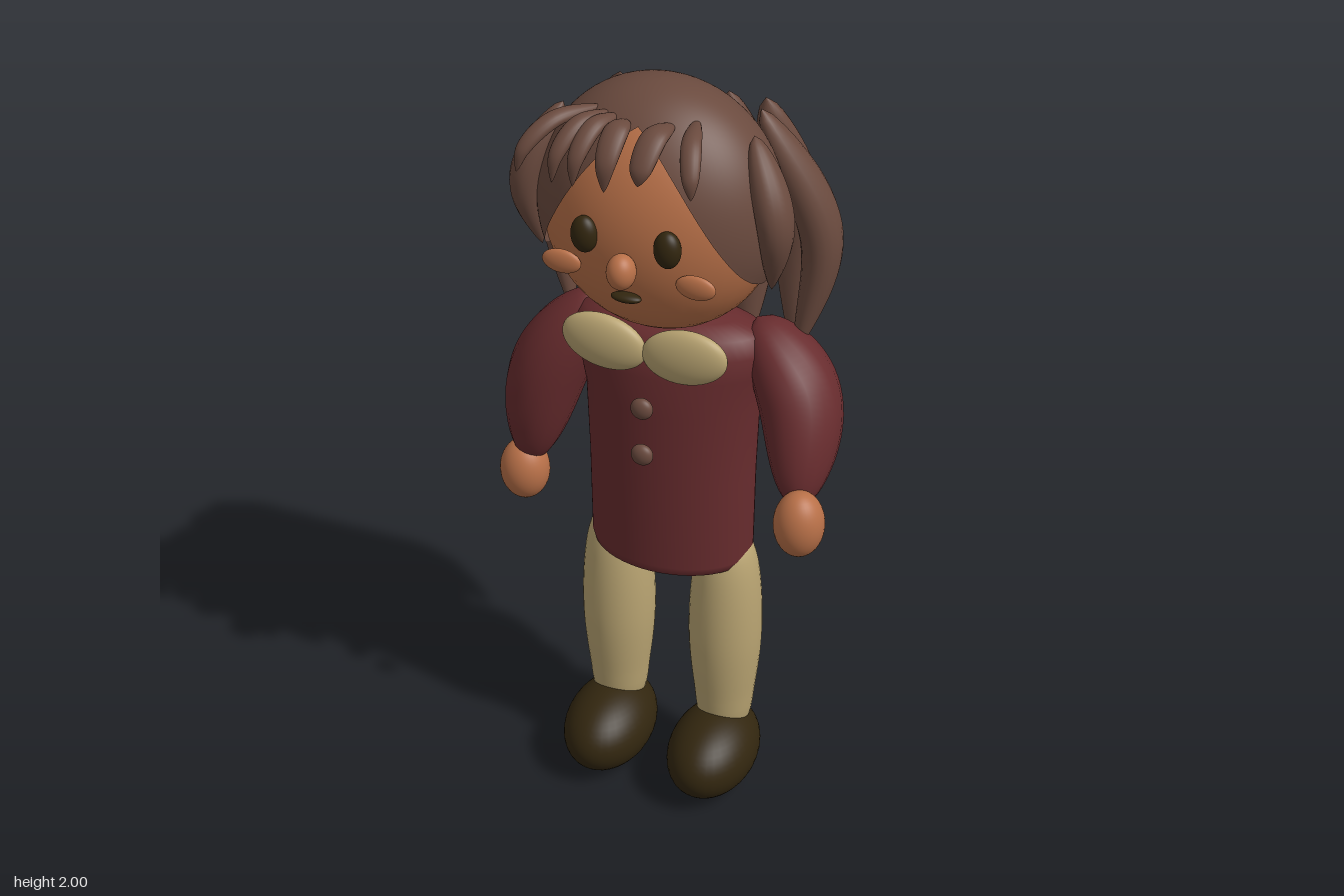
import * as THREE from 'three';

const mat = (name, color, side = THREE.FrontSide) => {
  const m = new THREE.MeshStandardMaterial({ color, side });
  m.name = name;
  return m;
};
const V = (a) => new THREE.Vector3(...a);

// Smooth surface from a grid of points: rows run along, columns wrap around
function loft(rows, cols, point) {
  const pos = [], idx = [];
  for (let i = 0; i <= rows; i++) {
    for (let j = 0; j < cols; j++) pos.push(...point(i / rows, (j / cols) * Math.PI * 2));
  }
  for (let i = 0; i < rows; i++) {
    for (let j = 0; j < cols; j++) {
      const a = i * cols + j, b = i * cols + ((j + 1) % cols);
      idx.push(a, a + cols, b + cols, a, b + cols, b);
    }
  }
  const g = new THREE.BufferGeometry();
  g.setAttribute('position', new THREE.Float32BufferAttribute(pos, 3));
  g.setIndex(idx);
  g.computeVertexNormals();
  return g;
}

// Curved tapering body; "out" is its thickness direction
function strand(points, width, depth, out, profile) {
  const curve = new THREE.CatmullRomCurve3(points.map(V));
  return loft(28, 18, (t, a) => {
    const c = curve.getPoint(t), T = curve.getTangent(t);
    const S = new THREE.Vector3().crossVectors(T, V(out)).normalize();
    const N = new THREE.Vector3().crossVectors(S, T);
    const r = Math.max(profile(t), 1e-4);
    c.addScaledVector(S, Math.cos(a) * r * width).addScaledVector(N, Math.sin(a) * r * depth);
    return c.toArray();
  });
}
const leaf = (t) => Math.pow(Math.max(0, Math.sin(Math.PI * Math.pow(t, 0.8))), 0.75);
const limb = (t) => Math.pow(Math.max(0, Math.sin(Math.PI * t)), 0.5);

export function createModel() {
  const model = new THREE.Group();
  model.name = 'doll';
  const skin = mat('skin', 0xb87048);
  const hair = mat('hair brown', 0x6a4a3e, THREE.DoubleSide);
  const coat = mat('coat red', 0x682c2e);
  const cream = mat('cream', 0xb9a472);
  const dark = mat('dark brown', 0x32260f);

  const add = (name, geometry, material) => {
    const m = new THREE.Mesh(geometry, material);
    m.name = name;
    model.add(m);
    return m;
  };
  const ball = (name, material, c, r, tilt = 0) => {
    const m = add(name, new THREE.SphereGeometry(1, 36, 24), material);
    m.position.set(...c);
    m.scale.set(...r);
    m.rotation.z = tilt;
    return m;
  };

  // Head and face
  ball('head', skin, [0, 1.68, 0.03], [0.283, 0.298, 0.217]);
  ball('nose', skin, [0, 1.63, 0.265], [0.034, 0.043, 0.036]);
  ball('mouth', dark, [0, 1.55, 0.238], [0.037, 0.011, 0.018]);
  for (const s of [-1, 1]) {
    ball('eye', dark, [s * 0.1, 1.692, 0.238], [0.032, 0.045, 0.026]);
    ball('cheek', skin, [s * 0.163, 1.603, 0.226], [0.048, 0.03, 0.014]);
  }

  // Hair cap, cut level behind and to a pointed arch in front
  const hairPoint = (th, a) => [
    0.295 * Math.sin(th) * Math.sin(a),
    1.685 + 0.315 * Math.cos(th),
    0.03 + 0.225 * Math.sin(th) * Math.cos(a),
  ];
  const hairEnd = (a) => {
    let th = 0.05;
    for (; th < 2.1; th += 0.004) {
      const [x, y, z] = hairPoint(th, a);
      const ax = Math.abs(x);
      const limit = z > 0.03 ? Math.max(1.54, 1.94 - 0.6 * ax - 3.3 * ax * ax) : 1.54;
      if (y < limit) break;
    }
    return th;
  };
  add('hairCap', loft(30, 96, (t, a) => hairPoint(Math.max(t, 1e-4) * hairEnd(a), a)), hair);

  // Side curls and long side locks
  for (const s of [-1, 1]) {
    add('sideCurl', strand([[s * 0.23, 1.91, 0.05], [s * 0.302, 1.73, 0.1], [s * 0.285, 1.54, 0.065]],
      0.05, 0.042, [s, 0, 0.2], leaf), hair);
    add('sideLock', strand([[s * 0.19, 1.9, -0.1], [s * 0.33, 1.58, -0.145], [s * 0.29, 1.27, -0.1]],
      0.062, 0.052, [s, 0, -0.2], leaf), hair);
  }

  // Long locks hanging down the back
  for (let i = -2; i <= 2; i++) {
    const x = i * 0.1;
    add('backLock', strand([[x * 0.9, 1.9, -0.16], [x * 1.18, 1.55, -0.247],
      [x * 1.3, 1.165 + Math.abs(x) * 0.25, -0.19]], 0.07, 0.056, [0, 0, -1], leaf), hair);
  }

  // Fringe: root x, root z, tip x, tip y, half width
  const fringe = [
    [-0.11, 0.1, -0.25, 1.83, 0.022], [-0.08, 0.12, -0.165, 1.82, 0.022],
    [-0.06, 0.13, -0.115, 1.82, 0.024], [-0.03, 0.15, -0.04, 1.82, 0.03],
    [0.07, 0.13, 0.04, 1.85, 0.032], [0.11, 0.09, 0.165, 1.84, 0.024],
  ];
  for (const [rx, rz, tx, ty, w] of fringe) {
    const mid = rx * 0.45 + tx * 0.55;
    add('fringeLock', strand([[rx, 1.945, rz], [mid, 1.94, 0.2], [tx * 0.9 + rx * 0.1, 1.885, 0.255],
      [tx, ty, 0.265]], w, 0.016, [0, 1, 0.6], leaf), hair);
  }

  // Coat body: oval rings listed as height, half width, half depth
  const rings = [
    [0.685, 0.001, 0.001], [0.685, 0.19, 0.135], [0.69, 0.204, 0.146], [0.71, 0.21, 0.148],
    [0.95, 0.213, 0.148], [1.15, 0.22, 0.148], [1.25, 0.24, 0.146], [1.31, 0.25, 0.135],
    [1.35, 0.225, 0.11], [1.375, 0.16, 0.075], [1.385, 0.001, 0.001],
  ];
  add('coat', loft(rings.length - 1, 48, (t, a) => {
    const [y, rx, rz] = rings[Math.round(t * (rings.length - 1))];
    return [rx * Math.cos(a), y, -0.045 + rz * Math.sin(a)];
  }), coat);

  // Collar and buttons
  for (const s of [-1, 1]) {
    ball('collar', cream, [s * 0.101, 1.355, 0.135], [0.107, 0.071, 0.032], s * 0.14);
  }
  for (const y of [1.2, 1.07]) ball('button', hair, [0, y, 0.152], [0.028, 0.028, 0.018]);

  // Arms: the left one reaches forward, the right one hangs lower
  add('leftSleeve', strand([[0.2, 1.37, -0.08], [0.325, 1.2, -0.04], [0.375, 0.975, 0.09]],
    0.115, 0.098, [1, 0.3, 0], limb), coat);
  ball('leftHand', skin, [0.392, 0.96, 0.13], [0.062, 0.087, 0.062]);
  add('rightSleeve', strand([[-0.2, 1.36, -0.07], [-0.33, 1.13, -0.055], [-0.385, 0.85, -0.03]],
    0.102, 0.098, [-1, 0.3, 0], limb), coat);
  ball('rightHand', skin, [-0.394, 0.825, -0.02], [0.064, 0.084, 0.062]);

  // Legs and shoes
  const legProfile = [
    [0.001, 0.12], [0.062, 0.17], [0.08, 0.28], [0.092, 0.4], [0.094, 0.5],
    [0.089, 0.6], [0.078, 0.68], [0.06, 0.73], [0.03, 0.755], [0.001, 0.76],
  ].map((p) => new THREE.Vector2(...p));
  const legCurve = new THREE.SplineCurve(legProfile).getPoints(40);
  for (const s of [-1, 1]) {
    const leg = add('leg', new THREE.LatheGeometry(legCurve, 32), cream);
    leg.position.set(s * 0.147, 0, -0.042);
    ball('shoe', dark, [s * 0.146, 0.11, 0.028], [0.114, 0.11, 0.169]);
  }
  return model;
}
